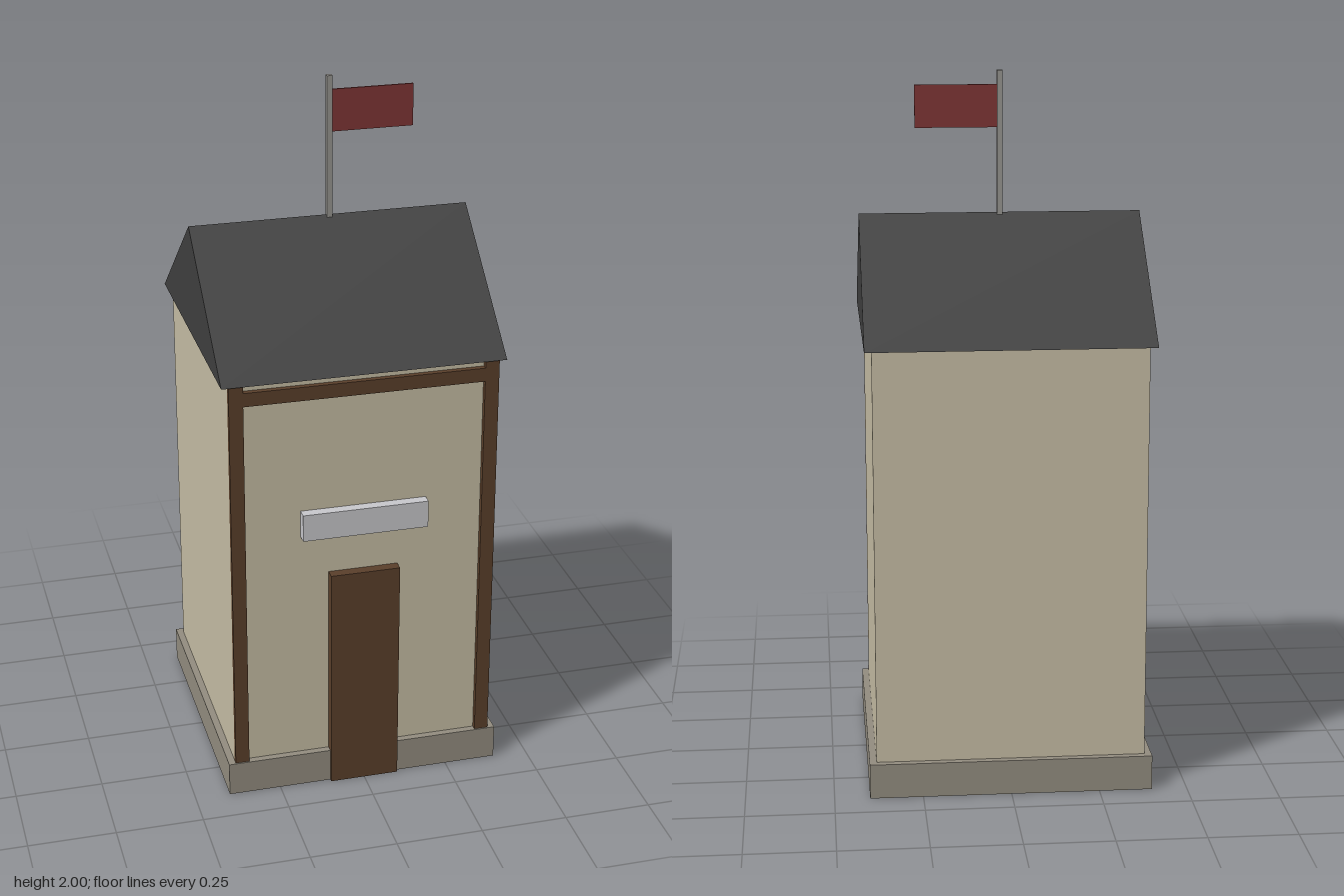
import * as THREE from 'three';

const mat = (name, color) => {
  const m = new THREE.MeshStandardMaterial({ color });
  m.name = name;
  return m;
};

export function createModel() {
  const group = new THREE.Group();
  const plaster = mat('plaster', 0xc8bfa6);
  const stone = mat('stone', 0x948e81);
  const timber = mat('timber', 0x5b402b);
  const slate = mat('slate', 0x404040);
  const signGrey = mat('signGrey', 0xc9c9cd);
  const poleGrey = mat('poleGrey', 0x999792);
  const red = mat('red', 0x803636);

  const add = (name, geometry, material) => {
    const mesh = new THREE.Mesh(geometry, material);
    mesh.name = name;
    group.add(mesh);
    return mesh;
  };
  // Box given by its minimum and maximum on each axis
  const box = (name, material, [x0, x1], [y0, y1], [z0, z1]) =>
    add(name, new THREE.BoxGeometry(x1 - x0, y1 - y0, z1 - z0), material)
      .position.set((x0 + x1) / 2, (y0 + y1) / 2, (z0 + z1) / 2);

  const zMid = -0.005;

  // Plinth and walls
  box('plinth', stone, [-0.4, 0.4], [0, 0.1], [zMid - 0.4, zMid + 0.4]);
  box('walls', plaster, [-0.38, 0.38], [0.1, 1.28], [zMid - 0.38, zMid + 0.38]);

  // Timber frame on the front
  for (const [side, s] of [['left', 1], ['right', -1]]) {
    box(side + 'Post', timber, [s * 0.36 - 0.02, s * 0.36 + 0.02], [0.1, 1.28], [0.375, 0.391]);
  }
  box('lintelBeam', timber, [-0.34, 0.34], [1.22, 1.26], [0.375, 0.391]);

  // Door and blank sign board
  box('door', timber, [-0.1, 0.1], [0, 0.68], [0.375, 0.405]);
  box('signBoard', signGrey, [-0.18, 0.18], [0.8, 0.88], [0.375, 0.405]);

  // Gable roof with its ridge along x
  const gable = new THREE.Shape([
    new THREE.Vector2(-0.4, 0),
    new THREE.Vector2(0.4, 0),
    new THREE.Vector2(0, 0.32),
  ]);
  const roof = new THREE.ExtrudeGeometry(gable, { depth: 0.8, bevelEnabled: false });
  roof.translate(0, 0, -0.4).rotateY(Math.PI / 2);
  add('roof', roof, slate).position.set(0, 1.28, zMid);

  // Flagpole and flag
  box('flagpole', poleGrey, [-0.008, 0.008], [1.58, 2], [zMid - 0.008, zMid + 0.008]);
  box('flag', red, [0.005, 0.24], [1.84, 1.96], [zMid - 0.0025, zMid + 0.0025]);

  return group;
}
